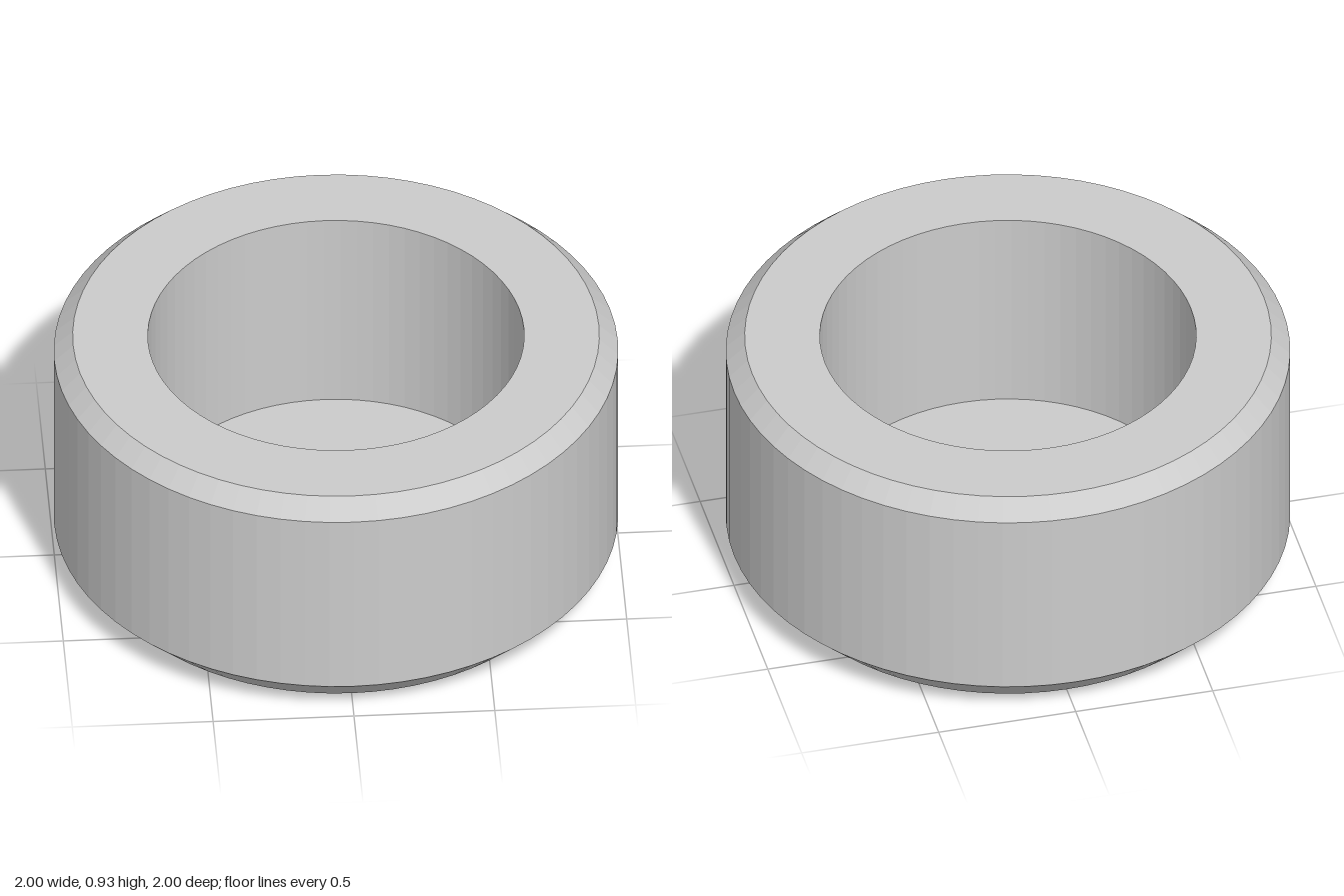
import * as THREE from 'three';

export function createModel() {
  const model = new THREE.Group();
  model.name = 'chamferedCup';

  // Closed base, chamfered outer wall, flat rim, then the bore down to its floor
  const profile = [
    [0, 0], [0.867, 0], [1, 0.133], [1, 0.867], [0.933, 0.933],
    [0.667, 0.933], [0.667, 0.133], [0, 0.133],
  ].map(([r, y]) => new THREE.Vector2(r, y));

  const cup = new THREE.Mesh(
    new THREE.LatheGeometry(profile, 72),
    new THREE.MeshStandardMaterial({ color: 0xcccccc, flatShading: true }),
  );
  cup.name = 'cupBody';
  model.add(cup);
  return model;
}
